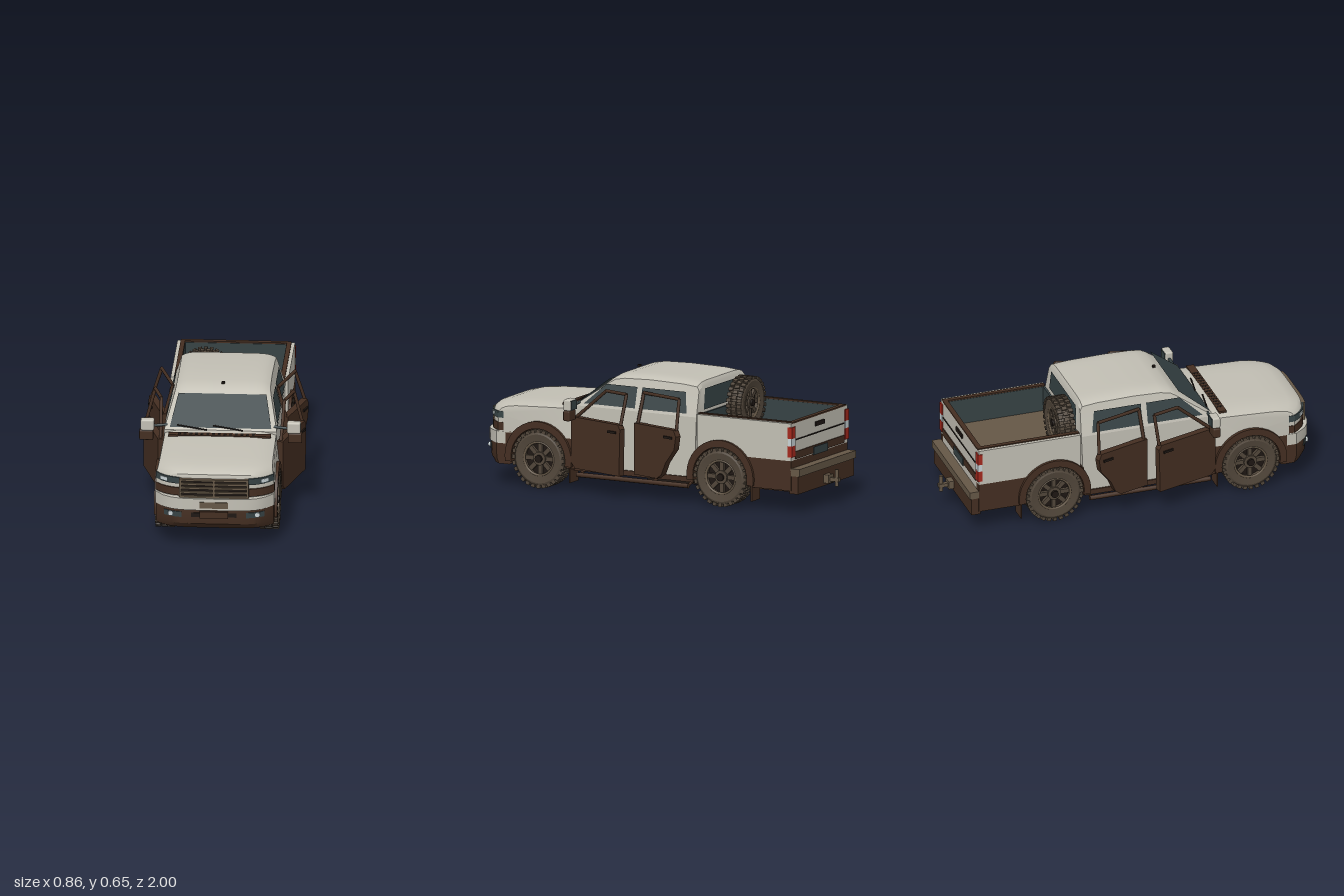
import * as THREE from 'three';
import { mergeGeometries, toCreasedNormals } from 'three/addons/utils/BufferGeometryUtils.js';
import { RoundedBoxGeometry } from 'three/addons/geometries/RoundedBoxGeometry.js';

const paint = (name, color, side = THREE.FrontSide) => {
  const m = new THREE.MeshStandardMaterial({ color, side });
  m.name = name;
  return m;
};
const WHEELS = [0.63, -0.46], ARCH = 0.165, AXLE = 0.157;

export function createModel() {
  const white = paint('body white', 0xc2bfb4), brown = paint('trim brown', 0x442e21);
  const tan = paint('tan trim', 0x655746), glass = paint('dark glass', 0x364244, THREE.DoubleSide);
  const dark = paint('underbody dark', 0x1e1713), rubber = paint('tyre rubber', 0x51463a);
  const red = paint('tail lamp red', 0xa3281c), lamp = paint('lamp silver', 0xc9d3d6);
  const truck = new THREE.Group();
  truck.name = 'pickupTruck';

  const add = (name, geo, mat, parent = truck) => {
    const m = new THREE.Mesh(geo, mat);
    m.name = name;
    parent.add(m);
    return m;
  };
  // box given by its limits
  const box = (name, mat, x0, x1, y0, y1, z0, z1, parent = truck) =>
    add(name, new THREE.BoxGeometry(x1 - x0, y1 - y0, z1 - z0)
      .translate((x0 + x1) / 2, (y0 + y1) / 2, (z0 + z1) / 2), mat, parent);
  // round bar between two points
  const bar = (name, mat, a, b, r, parent = truck, sides = 8) => {
    const A = new THREE.Vector3(...a), B = new THREE.Vector3(...b);
    const m = add(name, new THREE.CylinderGeometry(r, r, A.distanceTo(B), sides), mat, parent);
    m.position.copy(A).add(B).multiplyScalar(0.5);
    m.quaternion.setFromUnitVectors(new THREE.Vector3(0, 1, 0), B.sub(A).normalize());
    return m;
  };
  // move every vertex by a rule, then refresh the normals
  const reshape = (geo, rule) => {
    const p = geo.attributes.position, v = new THREE.Vector3();
    for (let i = 0; i < p.count; i++) {
      rule(v.fromBufferAttribute(p, i));
      p.setXYZ(i, v.x, v.y, v.z);
    }
    return toCreasedNormals(geo, 0.55);
  };
  // side profile of [z, y] points extruded across x
  const slab = (pts, x0, x1, rule = () => {}, steps = 1) => reshape(new THREE.ExtrudeGeometry(
    new THREE.Shape(pts.map(p => new THREE.Vector2(...p))), { depth: x1 - x0, steps, bevelEnabled: false })
    .rotateY(-Math.PI / 2).translate(x1, 0, 0), rule);
  const arch = (zc, yb, r = ARCH) => {
    const a0 = Math.asin((yb - AXLE) / r);
    return Array.from({ length: 21 }, (_, i) => {
      const a = a0 + (Math.PI - 2 * a0) * i / 20;
      return [zc + r * Math.cos(a), AXLE + r * Math.sin(a)];
    });
  };
  // rounded nose in plan, crowned hood
  const nose = v => {
    const u = Math.abs(v.x) / 0.31;
    v.z -= 0.09 * Math.max(0, (v.z - 0.8) / 0.17) * u ** 5;
    if (v.y > 0.4) v.y -= 0.022 * u ** 6;
    if (v.y > 0.38) v.x *= 1 - (v.y - 0.38) * 0.9;
  };
  const nosePlate = (name, mat, x0, x1, y0, y1, z0, z1) => add(name, reshape(
    new THREE.BoxGeometry(x1 - x0, y1 - y0, z1 - z0, 14, 1, 3)
      .translate((x0 + x1) / 2, (y0 + y1) / 2, (z0 + z1) / 2), nose), mat);
  // flat convex pane
  const pane = (name, pts, mat = glass) => {
    const tris = [];
    for (let i = 1; i < pts.length - 1; i++) tris.push(...pts[0], ...pts[i], ...pts[i + 1]);
    const g = new THREE.BufferGeometry();
    g.setAttribute('position', new THREE.Float32BufferAttribute(tris, 3));
    g.computeVertexNormals();
    return add(name, g, mat);
  };

  // front body
  add('hoodAndFenders', slab([[0.955, 0.28], ...arch(0.63, 0.28), [0.42, 0.28], [0.42, 0.462], [0.6, 0.455],
    [0.78, 0.447], [0.88, 0.438], [0.935, 0.425], [0.958, 0.407], [0.965, 0.38]], -0.31, 0.31, nose, 30), white);
  add('lowerFront', slab([[0.955, 0.11], [0.82, 0.11], ...arch(0.63, 0.12), [0.42, 0.12], [0.42, 0.28], [0.975, 0.28],
    [0.985, 0.2], [0.98, 0.14]], -0.31, 0.31, nose, 30), brown);
  nosePlate('bumperBand', white, -0.313, 0.313, 0.22, 0.284, 0.87, 0.995);
  nosePlate('lowerIntake', dark, -0.12, 0.12, 0.18, 0.203, 0.97, 0.988);
  nosePlate('plateMount', brown, -0.075, 0.075, 0.176, 0.212, 0.97, 0.997);
  nosePlate('frontPlate', tan, -0.075, 0.075, 0.232, 0.266, 0.99, 0.999);
  nosePlate('grilleBack', dark, -0.18, 0.18, 0.287, 0.385, 0.95, 0.971);
  for (const y of [0.29, 0.314, 0.338, 0.36, 0.382])
    nosePlate('grilleBar', tan, -0.18, 0.18, y - 0.005, y + 0.005, 0.96, 0.985);
  for (const x of [-0.178, 0, 0.178]) nosePlate('grillePost', tan, x - 0.006, x + 0.006, 0.285, 0.387, 0.96, 0.984);
  for (const s of [-1, 1]) {
    const span = (a, b) => s > 0 ? [a, b] : [-b, -a];
    nosePlate('headlamp', glass, ...span(0.184, 0.313), 0.356, 0.39, 0.9, 0.972);
    nosePlate('lowerLamp', brown, ...span(0.184, 0.313), 0.29, 0.332, 0.9, 0.97);
    nosePlate('headlampLens', lamp, ...span(0.25, 0.285), 0.364, 0.382, 0.96, 0.976);
    nosePlate('fogRecess', glass, ...span(0.17, 0.265), 0.177, 0.206, 0.96, 0.99);
    bar('fogLamp', lamp, [s * 0.23, 0.192, 0.94], [s * 0.23, 0.192, 0.974], 0.013, truck, 16);
  }

  // cowl and wipers
  const cowl = box('cowlVent', brown, -0.27, 0.27, 0.452, 0.4625, 0.47, 0.512);
  for (let i = 0; i < 14; i++) box('cowlSlot', dark, -0.22 + i * 0.03, -0.205 + i * 0.03, 0.46, 0.4635, 0.476, 0.506);
  for (const x of [0.02, -0.17]) bar('wiper', dark, [x + 0.1, 0.468, 0.445], [x - 0.06, 0.483, 0.415], 0.004);

  // cab
  add('cabLower', slab([[0.425, 0.13], [-0.292, 0.13], [-0.305, 0.46], [0.425, 0.46]], -0.297, 0.297), white);
  const halfAt = y => 0.297 - (y - 0.46) * 0.27;
  add('cabUpper', slab([[0.43, 0.46], [-0.305, 0.46], [-0.298, 0.615], [-0.285, 0.636], [-0.2, 0.644], [0, 0.648],
    [0.15, 0.643], [0.205, 0.633], [0.235, 0.615]], -0.31, 0.31, v => {
    const u = Math.abs(v.x) / 0.31, y = v.y;
    v.x *= halfAt(y) / 0.31;
    if (y > 0.6) v.y -= 0.022 * u ** 8;
  }, 30), white);
  const shield = (x, t) => [x, 0.46 + 0.155 * t + 0.003, 0.43 - 0.195 * t + 0.004];
  pane('windshield', [shield(-0.268, 0.06), shield(0.268, 0.06), shield(0.232, 0.91), shield(-0.232, 0.91)]);
  pane('rearWindow', [[-0.22, 0.49, -0.308], [0.22, 0.49, -0.308], [0.2, 0.6, -0.304], [-0.2, 0.6, -0.304]]);
  box('roofLamp', dark, -0.008, 0.008, 0.64, 0.65, 0.19, 0.206);
  box('floorPan', dark, -0.295, 0.295, 0.112, 0.131, -0.29, 0.43);

  // doors, hung at their front edges and standing ajar
  const doorKinds = [
    { name: 'frontDoor', z: 0.425, x: 0.312, turn: 0.28, top: [[0.02, 0.4], [0.2, 0.56], [0.35, 0.56], [0.35, 0.4]],
      panel: [[0, 0.16], [-0.03, 0.13], [-0.355, 0.13], [-0.362, 0.38], [-0.345, 0.405], [0, 0.405]] },
    { name: 'rearDoor', z: 0.045, x: 0.316, turn: 0.29, top: [[0.012, 0.4], [0.012, 0.56], [0.275, 0.56], [0.3, 0.4]],
      panel: [[0, 0.13], [-0.17, 0.13], [-0.205, 0.155], [-0.235, 0.22], [-0.3, 0.3], [-0.312, 0.37], [-0.295, 0.405], [0, 0.405]] },
  ];
  for (const s of [-1, 1]) {
    const px = y => s * (halfAt(y) + 0.003);
    const side = pts => pts.map(([z, y]) => [px(y), y, z]);
    pane('frontSideGlass', side([[0.37, 0.475], [0.25, 0.585], [0.065, 0.585], [0.065, 0.475]]));
    pane('rearSideGlass', side([[0.035, 0.475], [0.035, 0.585], [-0.225, 0.585], [-0.245, 0.475]]));
    box('sill', brown, Math.min(s * 0.28, s * 0.305), Math.max(s * 0.28, s * 0.305), 0.112, 0.14, -0.29, 0.425);
    for (const d of doorKinds) {
      const g = new THREE.Group();
      g.name = d.name;
      g.position.set(s * d.x, 0, d.z);
      g.rotation.y = -s * d.turn;
      truck.add(g);
      add('doorPanel', slab(d.panel, -0.018, 0.018), brown, g);
      const f = d.top.map(([b, y]) => [-s * (y - 0.4) * 0.28, y, -b]);
      for (let i = 0; i < 3; i++) bar('windowFrame', brown, f[i], f[i + 1], 0.009, g);
      const zh = -(d.top[3][0] - 0.045);
      box('doorHandle', dark, Math.min(0, s * 0.026), Math.max(0, s * 0.026), 0.355, 0.367, zh - 0.03, zh + 0.03, g);
    }
    // mirrors
    add('mirrorShell', new RoundedBoxGeometry(0.072, 0.062, 0.045, 2, 0.01).translate(s * 0.386, 0.48, 0.405), white);
    add('mirrorBase', new RoundedBoxGeometry(0.074, 0.056, 0.04, 2, 0.008).translate(s * 0.392, 0.424, 0.405), brown);
    box('mirrorGlass', glass, s * 0.386 - 0.03, s * 0.386 + 0.03, 0.455, 0.505, 0.379, 0.384);
    bar('mirrorArm', glass, [s * 0.28, 0.478, 0.4], [s * 0.36, 0.472, 0.405], 0.008);
    // side steps and brackets
    bar('sideStep', brown, [s * 0.3, 0.09, 0.41], [s * 0.3, 0.09, -0.26], 0.013);
    for (const z of [0.4, 0.18, -0.04, -0.25]) bar('stepBracket', brown, [s * 0.3, 0.09, z], [s * 0.16, 0.115, z], 0.008);
  }

  // cargo bed
  add('bedLower', slab([[-0.296, 0.12], ...arch(-0.46, 0.12), [-0.88, 0.12], [-0.88, 0.28], [-0.296, 0.28]], -0.31, 0.31), brown);
  for (const s of [-1, 1]) {
    const span = (a, b) => s > 0 ? [a, b] : [-b, -a];
    add('bedSide', slab([[-0.315, 0.28], ...arch(-0.46, 0.28), [-0.88, 0.28], [-0.88, 0.48], [-0.315, 0.48]],
      ...span(0.272, 0.31)), white);
    box('bedLiner', glass, ...span(0.266, 0.273), 0.3, 0.478, -0.855, -0.325);
    box('bedRail', brown, ...span(0.268, 0.292), 0.478, 0.486, -0.88, -0.315);
    box('tailLampTop', red, ...span(0.274, 0.314), 0.4, 0.46, -0.887, -0.862);
    box('tailLampMiddle', lamp, ...span(0.274, 0.314), 0.36, 0.4, -0.886, -0.864);
    box('tailLampBottom', red, ...span(0.274, 0.314), 0.3, 0.36, -0.887, -0.862);
  }
  box('bedFloor', tan, -0.272, 0.272, 0.32, 0.335, -0.86, -0.316);
  box('bedFrontWall', glass, -0.272, 0.272, 0.28, 0.478, -0.326, -0.315);
  box('tailgate', white, -0.272, 0.272, 0.24, 0.48, -0.88, -0.858);
  box('tailgateLiner', glass, -0.268, 0.268, 0.335, 0.478, -0.859, -0.852);
  box('tailgateCap', brown, -0.272, 0.272, 0.478, 0.486, -0.882, -0.855);
  box('tailgateHandle', dark, -0.05, 0.05, 0.425, 0.448, -0.887, -0.879);
  box('tailgateGroove', dark, -0.268, 0.268, 0.385, 0.391, -0.884, -0.879);
  box('tailgateStripe', brown, -0.268, 0.268, 0.285, 0.325, -0.885, -0.879);
  box('rearPlate', glass, -0.075, 0.075, 0.275, 0.318, -0.89, -0.884);

  // rear bumper and hitch
  box('rearBumper', brown, -0.308, 0.308, 0.105, 0.2, -0.92, -0.87);
  box('bumperStep', tan, -0.31, 0.31, 0.2, 0.24, -0.93, -0.875);
  box('hitchReceiver', tan, -0.025, 0.025, 0.12, 0.165, -0.95, -0.9);
  box('hitchBar', tan, -0.011, 0.011, 0.13, 0.15, -1, -0.94);
  bar('hitchPost', tan, [0, 0.105, -0.985], [0, 0.195, -0.985], 0.01, truck, 10);

  // wheels: the axle runs along x, the outer face points to +x
  const wheel = (name, k = 1) => {
    const g = new THREE.Group();
    g.name = name;
    const prof = [[0.088, -0.042], [0.13, -0.048], [0.142, -0.043], [0.147, -0.03], [0.147, 0.03], [0.142, 0.043],
      [0.13, 0.048], [0.088, 0.042], [0.088, -0.042]].map(p => new THREE.Vector2(...p));
    add('tyre', toCreasedNormals(new THREE.LatheGeometry(prof, 40).rotateZ(-Math.PI / 2), 0.5), rubber, g);
    const blocks = [];
    for (let i = 0; i < 28; i++) for (const [x, w, o] of [[-0.035, 0.028, 0], [0, 0.03, 0.5], [0.035, 0.028, 0]])
      blocks.push(new THREE.BoxGeometry(w, 0.018, 0.022).translate(x, 0.148, 0).rotateX((i + o) / 28 * Math.PI * 2));
    add('treadBlocks', mergeGeometries(blocks), rubber, g);
    bar('rimBack', dark, [-0.03, 0, 0], [0.012, 0, 0], 0.089, g, 32);
    add('rimLip', new THREE.TorusGeometry(0.088, 0.007, 6, 32).rotateY(Math.PI / 2).translate(0.038, 0, 0), tan, g);
    const spokes = [];
    for (let i = 0; i < 8; i++)
      spokes.push(new THREE.BoxGeometry(0.018, 0.06, 0.024).translate(0.02, 0.058, 0).rotateX(i / 4 * Math.PI));
    add('spokes', mergeGeometries(spokes), rubber, g);
    bar('hub', rubber, [0, 0, 0], [0.038, 0, 0], 0.036, g, 20);
    bar('hubCap', dark, [0.03, 0, 0], [0.05, 0, 0], 0.02, g, 16);
    g.scale.setScalar(k);
    truck.add(g);
    return g;
  };
  for (const z of WHEELS) for (const s of [-1, 1]) {
    const w = wheel(z > 0 ? 'frontWheel' : 'rearWheel');
    w.position.set(s * 0.275, AXLE, z);
    if (s < 0) w.rotation.y = Math.PI;
    const ring = [...arch(z, 0.13, 0.2), ...arch(z, 0.13, 0.162).reverse()];
    add('fenderFlare', slab(ring, s > 0 ? 0.285 : -0.325, s > 0 ? 0.325 : -0.285), brown);
    box('mudFlap', brown, s * 0.275 - 0.045, s * 0.275 + 0.045, 0.045, 0.14, z - 0.19, z - 0.183);
  }
  const spare = wheel('spareWheel', 0.9);
  spare.position.set(-0.13, 0.478, -0.37);
  spare.rotation.y = Math.PI / 2;

  // chassis
  box('chassisCore', dark, -0.205, 0.205, 0.125, 0.318, -0.85, 0.9);
  for (const s of [-1, 1]) {
    box('frameRail', brown, s * 0.15 - 0.018, s * 0.15 + 0.018, 0.085, 0.128, -0.87, 0.85);
    bar('suspensionArm', brown, [s * 0.13, 0.08, 0.6], [s * 0.24, 0.12, 0.63], 0.012);
    box('springSeat', brown, s * 0.165 - 0.018, s * 0.165 + 0.018, 0.05, 0.09, -0.5, -0.42);
  }
  for (const z of [-0.78, -0.62, -0.28, -0.05, 0.2, 0.42, 0.78]) box('crossMember', brown, -0.15, 0.15, 0.09, 0.122, z - 0.018, z + 0.018);
  for (const z of WHEELS) {
    bar('axle', brown, [-0.24, 0.12, z], [0.24, 0.12, z], 0.02);
    add('differential', new THREE.SphereGeometry(0.048, 16, 12).translate(z > 0 ? 0 : 0.02, 0.085, z), dark);
  }
  bar('driveShaft', brown, [0.02, 0.09, -0.44], [0, 0.1, 0.2], 0.014);
  box('gearbox', brown, -0.06, 0.06, 0.07, 0.125, 0.2, 0.42);
  box('fuelTank', dark, 0.03, 0.13, 0.065, 0.125, -0.26, 0.08);
  bar('exhaustPipe', brown, [-0.09, 0.085, 0.4], [-0.09, 0.085, -0.7], 0.013);
  bar('muffler', brown, [-0.09, 0.085, -0.02], [-0.09, 0.085, -0.24], 0.03, truck, 14);
  return truck;
}
